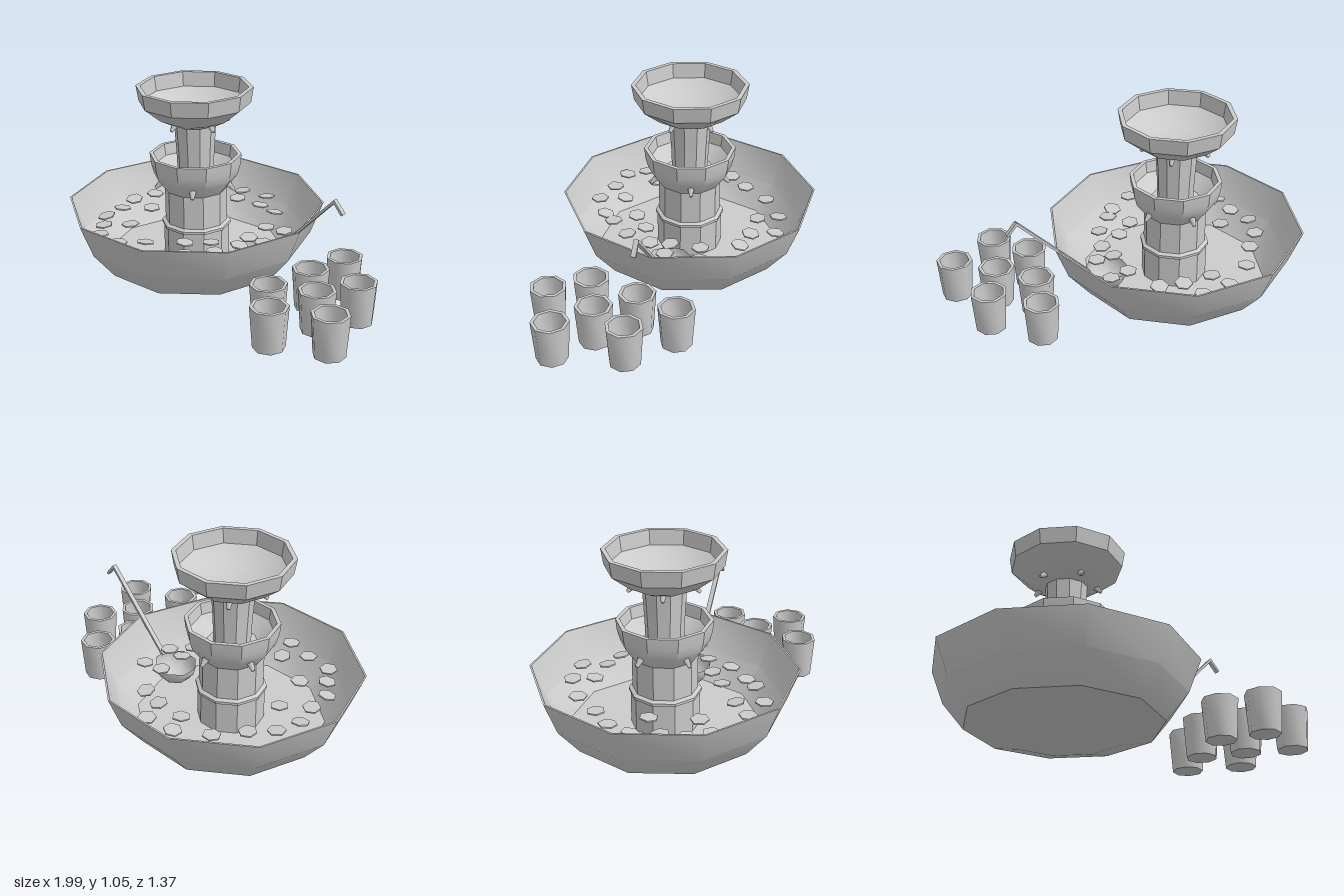
import * as THREE from 'three';
import { toCreasedNormals } from 'three/addons/utils/BufferGeometryUtils.js';

const material = new THREE.MeshStandardMaterial({ color: 0xcccccc, side: THREE.DoubleSide });
const CX = -0.28; // fountain axis

function add(parent, name, geometry, x = 0, y = 0, z = 0) {
  const mesh = new THREE.Mesh(geometry, material);
  mesh.name = name;
  mesh.position.set(x, y, z);
  parent.add(mesh);
  return mesh;
}

// Turned solid from [radius, height] pairs, with a corner on the +x axis
function turned(profile, sides, crease) {
  const points = profile.map(([r, y]) => new THREE.Vector2(r, y));
  return toCreasedNormals(new THREE.LatheGeometry(points, sides, Math.PI / 2), crease);
}

// Thin square-section bar between two points in the x-y plane
function bar(parent, name, x0, y0, x1, y1, thick, width) {
  const mesh = add(parent, name, new THREE.BoxGeometry(Math.hypot(x1 - x0, y1 - y0), thick, width),
    (x0 + x1) / 2, (y0 + y1) / 2, 0);
  mesh.rotation.z = Math.atan2(y1 - y0, x1 - x0);
}

// Five small spouts pointing outward and down
function spouts(parent, name, radius, y, start) {
  const geometry = new THREE.CylinderGeometry(0.009, 0.02, 0.05, 6);
  for (let i = 0; i < 5; i++) {
    const a = start + (i * Math.PI * 2) / 5;
    const spout = add(parent, name, geometry, Math.cos(a) * radius, y, Math.sin(a) * radius);
    const direction = new THREE.Vector3(Math.cos(a), -0.9, Math.sin(a)).normalize();
    spout.quaternion.setFromUnitVectors(new THREE.Vector3(0, 1, 0), direction);
  }
}

export function createModel() {
  const model = new THREE.Group();
  model.name = 'punchFountain';

  const fountain = new THREE.Group();
  fountain.name = 'fountain';
  fountain.position.x = CX;
  model.add(fountain);

  // Basin
  add(fountain, 'basin', turned([
    [0, 0], [0.34, 0], [0.53, 0.05], [0.65, 0.2], [0.72, 0.385],
    [0.71, 0.385], [0.64, 0.2], [0.52, 0.06], [0, 0.06],
  ], 10, 0.6));

  // Pedestal with its collar
  add(fountain, 'pedestal', turned([[0.185, 0.06], [0.185, 0.25], [0.175, 0.27], [0.175, 0.48]], 10, 0.1));
  add(fountain, 'collar', turned([[0.175, 0.245], [0.195, 0.25], [0.195, 0.265], [0.175, 0.275]], 10, 0.1));

  // Middle bowl
  add(fountain, 'middleBowl', turned([
    [0, 0.465], [0.175, 0.465], [0.235, 0.545], [0.25, 0.6], [0.257, 0.665],
    [0.235, 0.665], [0.225, 0.6], [0.14, 0.53], [0, 0.53],
  ], 10, 0.6));
  spouts(fountain, 'middleSpout', 0.212, 0.497, -Math.PI / 2);

  // Upper column and bowl
  add(fountain, 'column', turned([[0.1, 0.53], [0.105, 0.665], [0.117, 0.86]], 10, 0.1));
  add(fountain, 'upperBowl', turned([
    [0, 0.848], [0.135, 0.848], [0.21, 0.885], [0.308, 0.965], [0.322, 1.052],
    [0.297, 1.052], [0.285, 0.97], [0.165, 0.9], [0, 0.9],
  ], 10, 0.6));
  spouts(fountain, 'upperSpout', 0.176, 0.86, Math.PI / 2);

  // Floating fruit slices, as x, z pairs
  const slices = [
    -0.35, -0.51, -0.18, -0.53, -0.52, -0.4, -0.3, -0.4, -0.13, -0.4, 0, -0.37, 0.09, -0.17,
    0.2, -0.19, -0.63, -0.25, -0.73, -0.14, -0.77, 0, -0.6, 0.03, -0.73, 0.14, -0.53, 0.28,
    -0.72, 0.28, -0.64, 0.38, -0.57, 0.48, -0.41, 0.5, -0.25, 0.54, -0.3, 0.4, -0.1, 0.45,
    -0.04, 0.38, 0.07, 0.26, -0.13, 0.27, 0.12, 0.11, 0.1, 0, 0.2, 0, -0.02, 0.18,
  ];
  const sliceGeometry = toCreasedNormals(new THREE.CylinderGeometry(0.05, 0.05, 0.008, 6), 0.1);
  for (let i = 0; i < slices.length; i += 2) {
    const slice = add(model, 'fruitSlice', sliceGeometry, slices[i], 0.26, slices[i + 1]);
    slice.rotation.set(0.12 * Math.sin(i * 2.3), i * 1.7, 0.12 * Math.cos(i * 1.9));
  }

  // Ladle resting in the basin
  const ladle = new THREE.Group();
  ladle.name = 'ladle';
  model.add(ladle);
  const scoop = add(ladle, 'ladleScoop',
    new THREE.SphereGeometry(0.12, 8, 4, Math.PI / 8, Math.PI * 2, Math.PI / 2, Math.PI / 2), 0.14, 0.2, -0.01);
  scoop.rotation.z = 0.1;
  bar(ladle, 'ladleHandle', 0.25, 0.2, 0.655, 0.625, 0.014, 0.026);
  bar(ladle, 'ladleHook', 0.65, 0.625, 0.705, 0.56, 0.014, 0.026);

  // Cups standing beside the basin
  const cupGeometry = turned([
    [0, 0], [0.084, 0], [0.1, 0.228], [0.082, 0.228], [0.066, 0.025], [0, 0.025],
  ], 8, 0.82);
  const cups = [[0.605, -0.19], [0.545, 0.04], [0.825, 0.015], [0.71, 0.22], [0.48, 0.32], [0.9, 0.38], [0.625, 0.505]];
  cups.forEach(([x, z], i) => {
    add(model, 'cup', cupGeometry, x, 0, z).rotation.y = 0.1 + i * 0.37;
  });

  return model;
}
